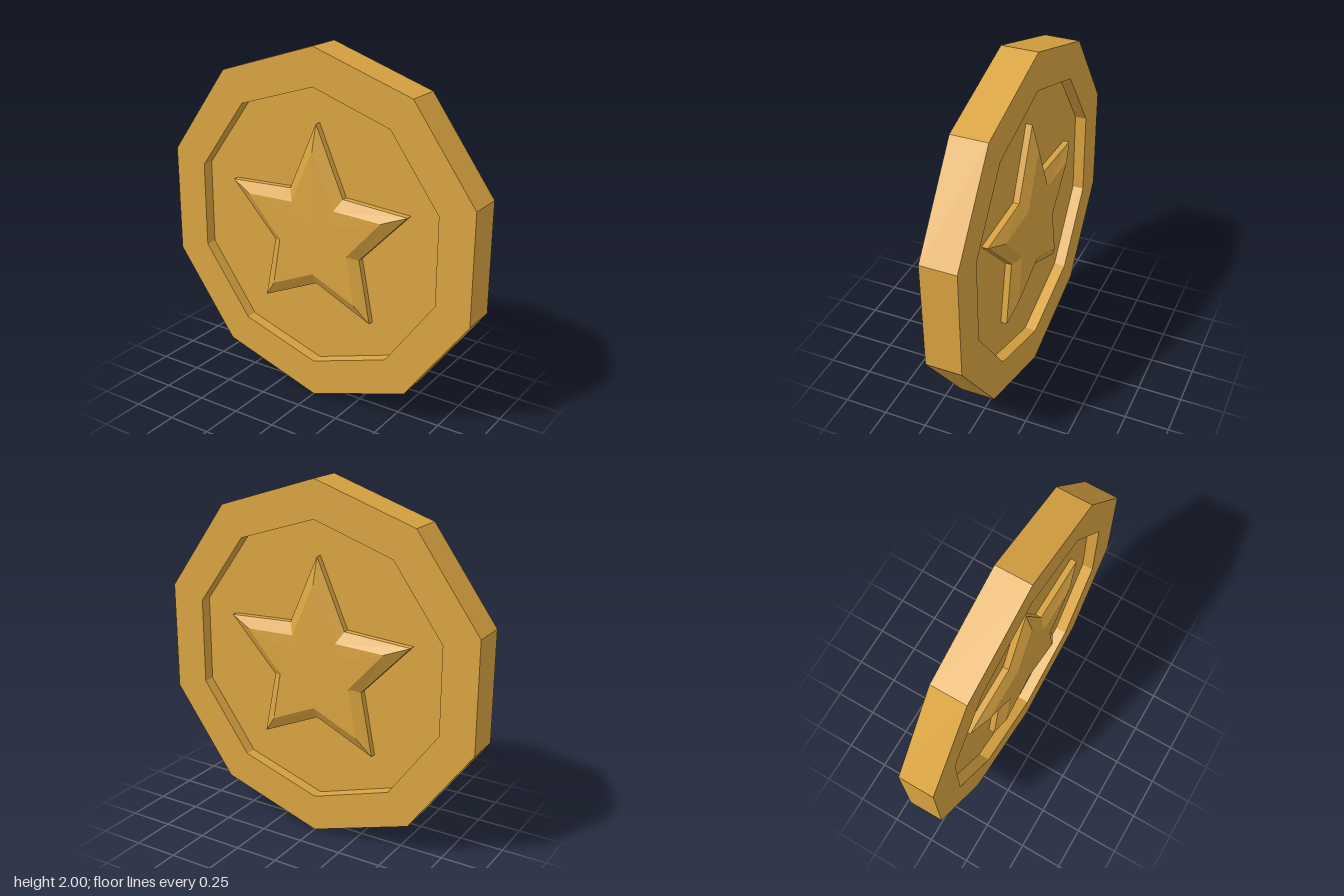
import * as THREE from 'three';

const SIDES = 10;
const HALF = 0.1;      // half thickness of the rim
const FLOOR = 0.035;   // height of the recessed floor
const gold = new THREE.MeshStandardMaterial({ color: 0xd9a441, flatShading: true });

function decagon(radius) {
  return Array.from({ length: SIDES }, (_, i) => {
    const a = Math.PI / 2 + (i * 2 * Math.PI) / SIDES;
    return new THREE.Vector2(radius * Math.cos(a), radius * Math.sin(a));
  });
}

// Completes a half outline (top to bottom, on -x) by mirroring it; counter-clockwise
function mirrored(half) {
  const other = half.slice(1, -1).reverse().map(([x, y]) => [-x, y]);
  return [...half, ...other];
}

// Skins stacked outlines and closes the last one with a fan around a centre point
function loftGeometry(loops, centre) {
  const pos = [];
  const n = loops[0].length;
  for (let i = 0; i < n; i++) {
    const j = (i + 1) % n;
    for (let k = 0; k + 1 < loops.length; k++) {
      const [lo, hi] = [loops[k], loops[k + 1]];
      pos.push(...lo[i], ...lo[j], ...hi[j], ...lo[i], ...hi[j], ...hi[i]);
    }
    const top = loops[loops.length - 1];
    pos.push(...top[i], ...top[j], ...centre);
  }
  const geo = new THREE.BufferGeometry();
  geo.setAttribute('position', new THREE.Float32BufferAttribute(pos, 3));
  geo.computeVertexNormals();
  return geo;
}

function starGeometry() {
  const base = mirrored([[0, 0.59], [-0.17, 0.207], [-0.56, 0.185], [-0.275, -0.115], [-0.345, -0.472], [0, -0.317]]);
  const face = mirrored([[0, 0.45], [-0.135, 0.145], [-0.425, 0.135], [-0.218, -0.095], [-0.265, -0.368], [0, -0.25]]);
  const at = (loop, z) => loop.map(([x, y]) => [x, y, z]);
  return loftGeometry([at(base, FLOOR), at(base, 0.07), at(face, 0.108)], [0, 0, 0.112]);
}

export function createModel() {
  const model = new THREE.Group();
  model.name = 'coin';
  const add = (parent, name, geometry) => {
    const mesh = new THREE.Mesh(geometry, gold);
    mesh.name = name;
    parent.add(mesh);
    return mesh;
  };

  // Raised ten-sided rim
  const rimShape = new THREE.Shape(decagon(1));
  rimShape.holes.push(new THREE.Path(decagon(0.79)));
  const rim = new THREE.ExtrudeGeometry(rimShape, { depth: 2 * HALF, bevelEnabled: false });
  rim.translate(0, 0, -HALF);
  add(model, 'rim', rim);

  // Recessed floor and bevelled star, the same on both sides
  const floor = new THREE.ShapeGeometry(new THREE.Shape(decagon(0.79)));
  const star = starGeometry();
  for (const [name, turn] of [['front', 0], ['back', Math.PI]]) {
    const side = new THREE.Group();
    side.name = name + 'Side';
    side.rotation.y = turn;
    add(side, name + 'Floor', floor).position.z = FLOOR;
    add(side, name + 'Star', star);
    model.add(side);
  }

  model.children.forEach((part) => { part.position.y = 1; });
  return model;
}
